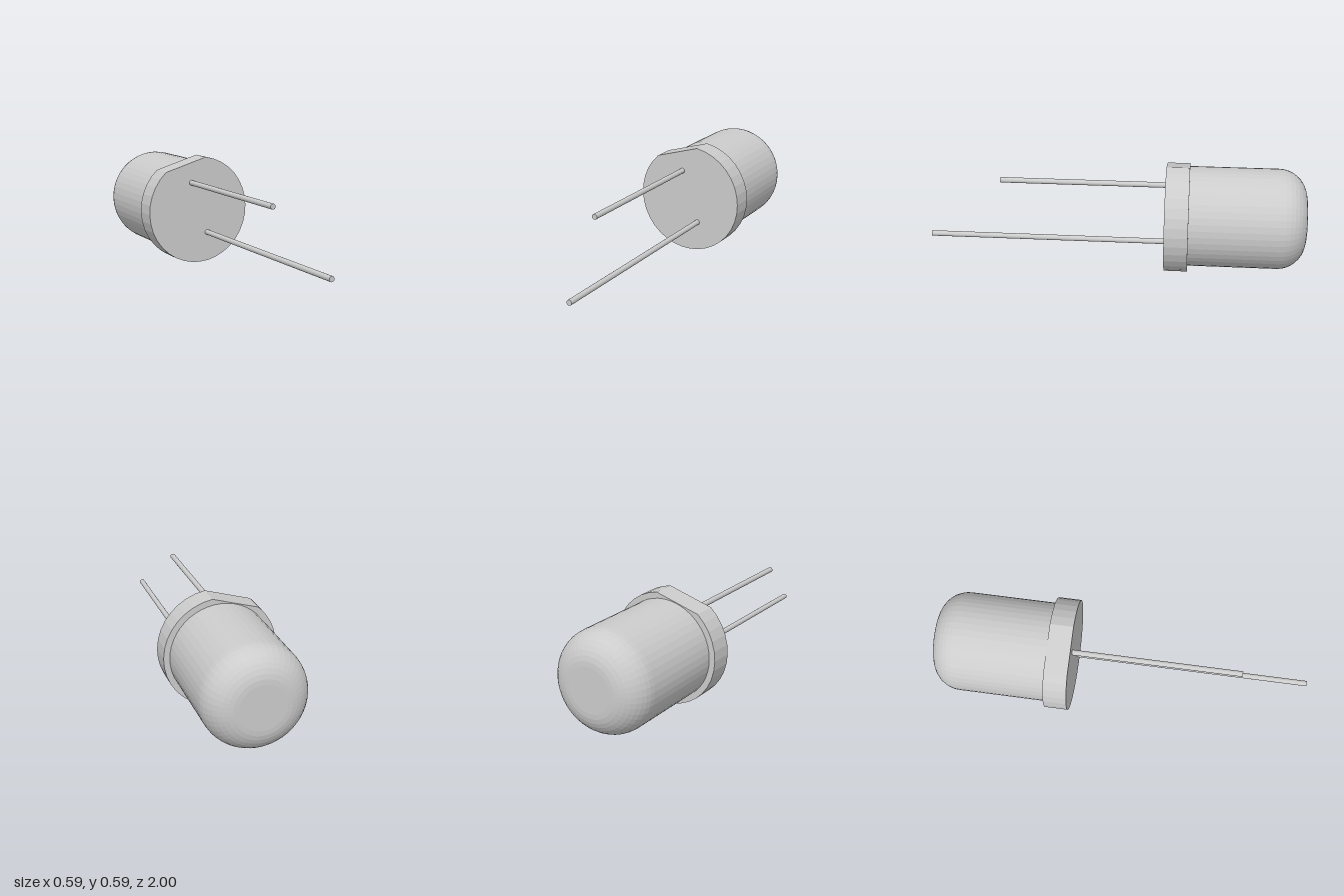
import * as THREE from 'three';

const CENTER_Y = 0.297;
const FLANGE_BACK = -0.385;
const FLANGE_FRONT = -0.262;

export function createModel() {
  const group = new THREE.Group();
  const smooth = new THREE.MeshStandardMaterial({ color: 0xcccccc });
  const faceted = new THREE.MeshStandardMaterial({ color: 0xcccccc, flatShading: true });

  const add = (name, geometry, material, x, y, z) => {
    const mesh = new THREE.Mesh(geometry, material);
    mesh.name = name;
    mesh.position.set(x, y, z);
    group.add(mesh);
    return mesh;
  };

  // Lens: a cylinder with a rounded shoulder and a flat end, pointing to -z
  const radius = 0.265, fillet = 0.147, length = 1 + FLANGE_BACK;
  const profile = [new THREE.Vector2(radius, 0)];
  const steps = 9;
  for (let i = 0; i <= steps; i++) {
    const a = (i / steps) * Math.PI / 2;
    profile.push(new THREE.Vector2(
      radius - fillet + fillet * Math.cos(a),
      length - fillet + fillet * Math.sin(a)));
  }
  profile.push(new THREE.Vector2(0, length));
  const lens = add('lens', new THREE.LatheGeometry(profile, 48), faceted, 0, CENTER_Y, FLANGE_BACK);
  lens.rotation.x = -Math.PI / 2;

  // Flange: a disc cut by one chord, which leaves a flat on the rim
  const outline = [];
  const start = 131.7, sweep = 309.6, sides = 31;
  for (let i = 0; i <= sides; i++) {
    const a = THREE.MathUtils.degToRad(start + (sweep * i) / sides);
    outline.push(new THREE.Vector2(0.297 * Math.cos(a), 0.297 * Math.sin(a)));
  }
  const flange = new THREE.ExtrudeGeometry(new THREE.Shape(outline), {
    depth: FLANGE_FRONT - FLANGE_BACK, bevelEnabled: false,
  });
  add('flange', flange, faceted, 0, CENTER_Y, FLANGE_BACK);

  // Leads: two thin wires of different length, pointing to +z
  const leads = [
    ['shortLead', -0.043, 0.452, 0.63],
    ['longLead', 0.053, 0.166, 1],
  ];
  for (const [name, x, y, tip] of leads) {
    const wire = new THREE.CylinderGeometry(0.0145, 0.0145, tip - FLANGE_FRONT, 16);
    wire.rotateX(Math.PI / 2);
    add(name, wire, smooth, x, y, (tip + FLANGE_FRONT) / 2);
  }

  return group;
}
